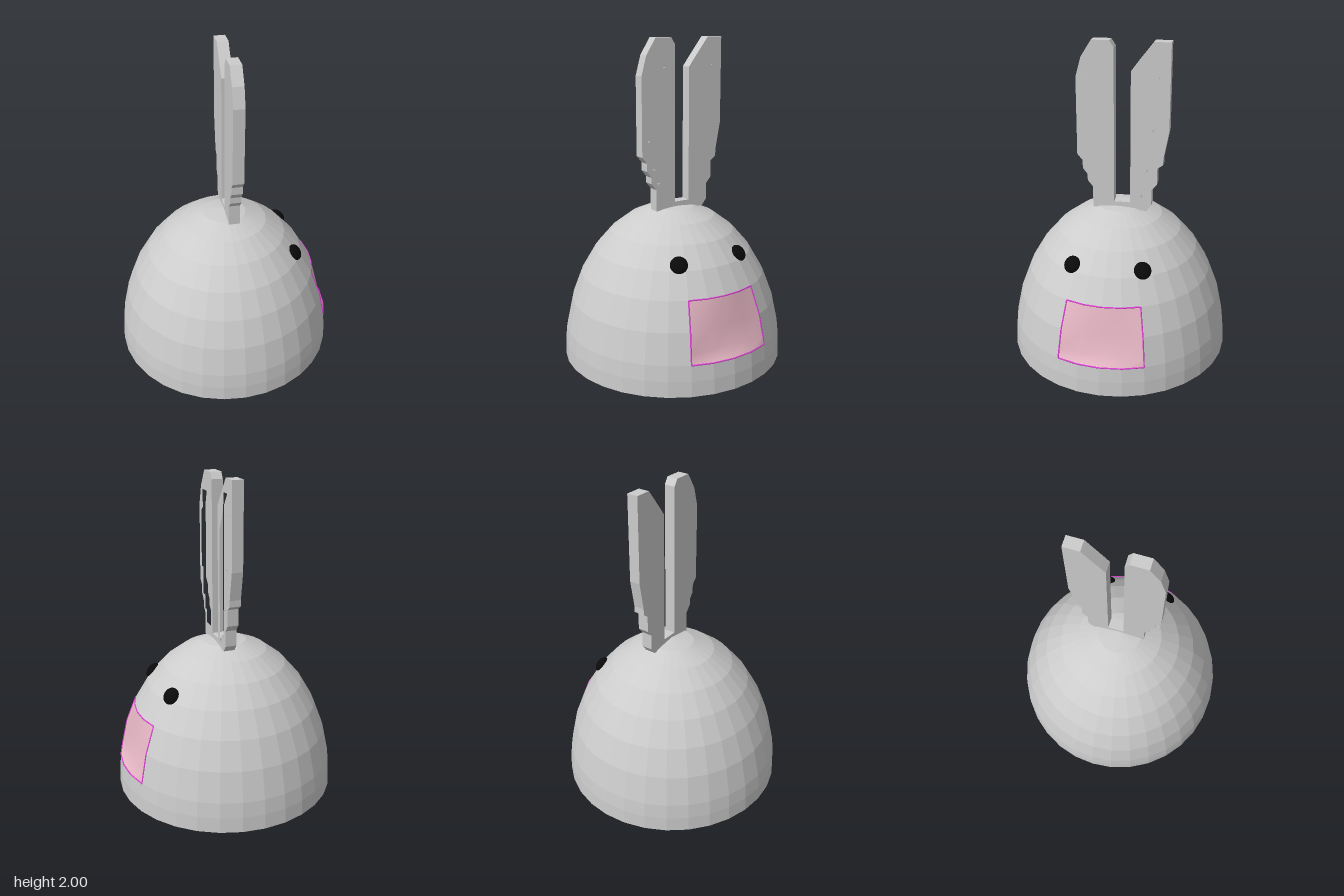
import * as THREE from 'three';

const R = 0.7, H = 0.98, STEP = Math.PI / 16;

export function createModel() {
  const root = new THREE.Group();
  const mat = (name, color, extra = {}) => {
    const m = new THREE.MeshStandardMaterial({ color, ...extra });
    m.name = name;
    return m;
  };
  const grey = mat('light grey', 0xcccccc, { flatShading: true });
  const black = mat('black', 0x0a0a0a);
  const pink = mat('pink', 0xe9b9c7, { side: THREE.DoubleSide });
  const magenta = mat('magenta', 0xe040d8);
  const add = (name, geo, material, parent = root) => {
    const m = new THREE.Mesh(geo, material);
    m.name = name;
    parent.add(m);
    return m;
  };

  // Domed body in three bands, the middle one leaving an opening on the +x side
  const body = new THREE.Group();
  body.name = 'body';
  root.add(body);
  const band = (name, row, rows, phi, cols) => add(name,
    new THREE.SphereGeometry(R, cols, rows, phi, cols * STEP, row * STEP, rows * STEP)
      .scale(1, H / R, 1), grey, body);
  band('bodyTop', 0, 5, 0, 32);
  band('bodyMiddle', 5, 2, Math.PI + 2 * STEP, 28);
  band('bodyBottom', 7, 1, 0, 32);
  add('bodyBase', new THREE.CircleGeometry(R, 32).rotateX(Math.PI / 2), grey, body);

  // Pink muzzle panel: rows of [height, edge radius, inset at the middle]
  const rows = [[0.5445, 0.582, 0], [0.375, 0.6467, 0.03], [0.25, 0.674, 0.038], [0.191, 0.6865, 0]];
  const cols = 4, pts = [], index = [];
  rows.forEach(([y, r, inset], i) => {
    for (let j = 0; j <= cols; j++) {
      const u = j / cols * 2 - 1, a = -u * 2 * STEP, d = r - inset * (1 - u * u);
      pts.push(new THREE.Vector3(d * Math.cos(a), y, d * Math.sin(a)));
      if (i && j) {
        const p = i * (cols + 1) + j, q = p - cols - 1;
        index.push(q - 1, p - 1, q, q, p - 1, p);
      }
    }
  });
  const panel = new THREE.BufferGeometry().setFromPoints(pts);
  panel.setIndex(index);
  panel.computeVertexNormals();
  add('muzzlePanel', panel, pink);

  // Thin magenta border around the panel
  const border = new THREE.Group();
  border.name = 'muzzleBorder';
  root.add(border);
  const rod = (a, b) => {
    const m = add('borderRod', new THREE.CylinderGeometry(0.0045, 0.0045, a.distanceTo(b), 6), magenta, border);
    m.position.copy(a).lerp(b, 0.5);
    m.quaternion.setFromUnitVectors(new THREE.Vector3(0, 1, 0), b.clone().sub(a).normalize());
  };
  const at = (i, j) => pts[i * (cols + 1) + j];
  for (const i of [0, rows.length - 1])
    for (let j = 0; j < cols; j++) rod(at(i, j), at(i, j + 1));
  for (const j of [0, cols])
    for (let i = 0; i < rows.length - 1; i++) rod(at(i, j), at(i + 1, j));

  // Eyes: flattened balls lying on the dome
  for (const side of [1, -1]) {
    const p = new THREE.Vector3(0.42, 0.722, side * 0.214);
    const eye = add(side > 0 ? 'rightEye' : 'leftEye', new THREE.SphereGeometry(0.053, 24, 16), black);
    eye.position.copy(p);
    eye.scale.z = 0.6;
    eye.quaternion.setFromUnitVectors(new THREE.Vector3(0, 0, 1),
      new THREE.Vector3(p.x / (R * R), p.y / (H * H), p.z / (R * R)).normalize());
  }

  // Ears: flat plates with a stepped hollow, profiles given as [z, y]
  const toV = list => list.map(([z, y]) => new THREE.Vector2(-z, y));
  const plate = (outline, hole, x, depth) => {
    const shape = new THREE.Shape(toV(outline));
    if (hole) shape.holes.push(new THREE.Path(toV(hole)));
    return new THREE.ExtrudeGeometry(shape, { depth, bevelEnabled: false })
      .rotateY(Math.PI / 2).translate(x, 0, 0);
  };
  const ear = (name, outline, hollow) => {
    const g = new THREE.Group();
    g.name = name;
    root.add(g);
    add(name + 'Back', plate(outline, null, 0, 0.03), grey, g);
    add(name + 'Rim', plate(outline, hollow, 0.03, 0.04), grey, g);
  };
  ear('frontEar',
    [[0.157, 2], [0.05, 2], [0.024, 1.96], [0.024, 0.955], [0.157, 0.955], [0.157, 1.09],
      [0.19, 1.13], [0.19, 1.17], [0.22, 1.21], [0.22, 1.26], [0.253, 1.3], [0.253, 1.78], [0.22, 1.9]],
    [[0.19, 1.88], [0.09, 1.88], [0.09, 1.825], [0.055, 1.825], [0.055, 1.04], [0.125, 1.04],
      [0.125, 1.125], [0.157, 1.125], [0.157, 1.215], [0.19, 1.215], [0.19, 1.39], [0.22, 1.39],
      [0.22, 1.745], [0.19, 1.77]]);
  ear('backEar',
    [[-0.21, 2], [-0.31, 2], [-0.31, 1.475], [-0.278, 1.3], [-0.278, 1.26], [-0.243, 1.235],
      [-0.243, 1.13], [-0.21, 1.09], [-0.21, 0.99], [-0.18, 0.95], [-0.077, 0.95], [-0.077, 1.825],
      [-0.11, 1.87]],
    [[-0.178, 1.915], [-0.243, 1.915], [-0.243, 1.83], [-0.275, 1.83], [-0.275, 1.79], [-0.243, 1.79],
      [-0.243, 1.47], [-0.21, 1.47], [-0.21, 1.215], [-0.178, 1.215], [-0.178, 1.04], [-0.142, 1.04],
      [-0.142, 1], [-0.11, 1], [-0.11, 1.69], [-0.142, 1.75], [-0.178, 1.87]]);
  add('earBridge', plate([[0.024, 0.95], [0.024, 1], [-0.077, 1], [-0.077, 0.95]], null, 0, 0.07), grey);

  return root;
}
